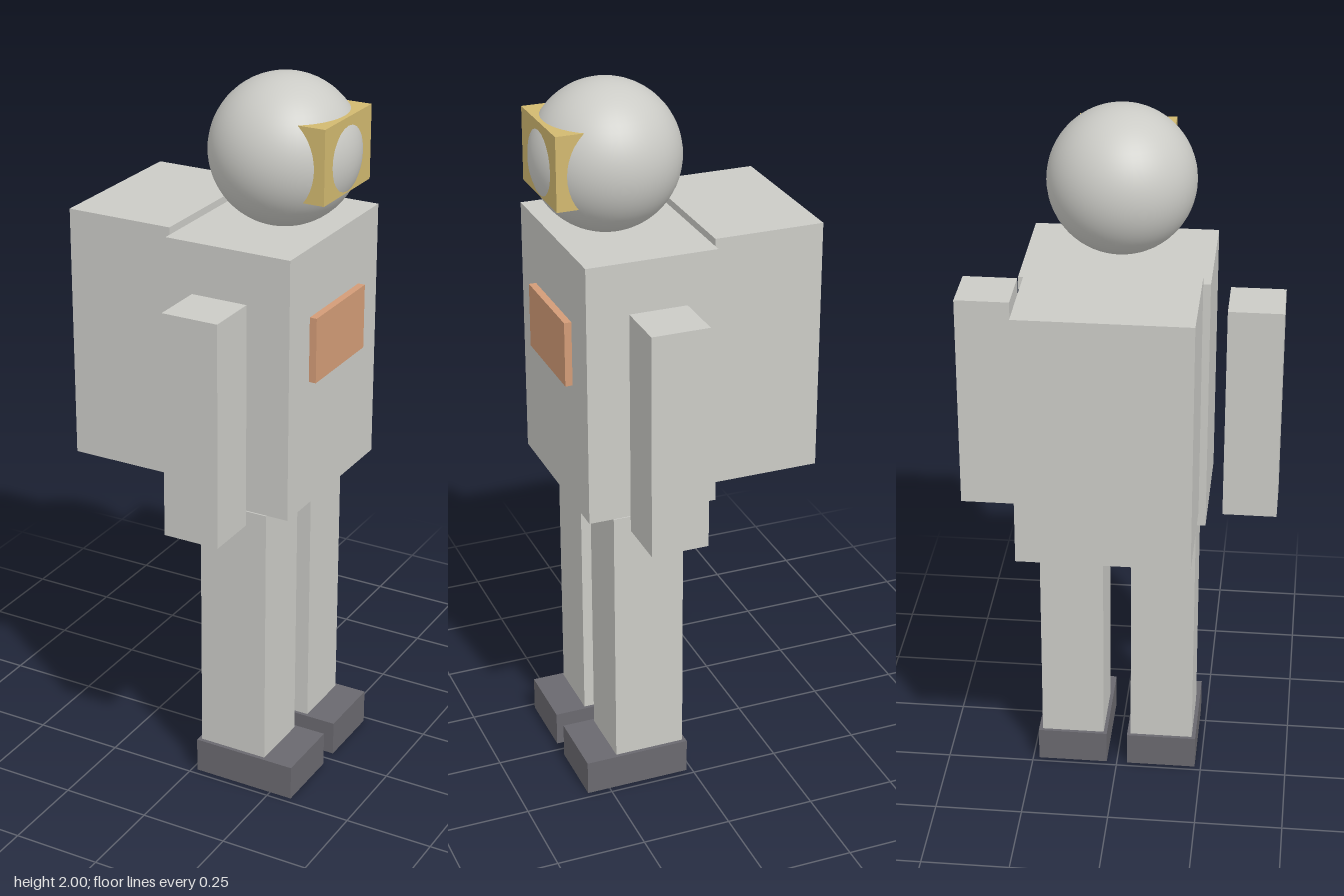
import * as THREE from 'three';

export function createModel() {
  const model = new THREE.Group();
  const material = (name, color) => {
    const m = new THREE.MeshStandardMaterial({ color });
    m.name = name;
    return m;
  };
  const suit = material('suit grey', 0xcbcbc6);
  const boots = material('boot charcoal', 0x6a696f);
  const gold = material('visor gold', 0xd2b970);
  const copper = material('panel copper', 0xd39c77);

  // Box given by its limits along each axis
  const box = (name, mat, [x0, x1], [y0, y1], [z0, z1]) => {
    const mesh = new THREE.Mesh(new THREE.BoxGeometry(x1 - x0, y1 - y0, z1 - z0), mat);
    mesh.position.set((x0 + x1) / 2, (y0 + y1) / 2, (z0 + z1) / 2);
    mesh.name = name;
    model.add(mesh);
  };

  // Body, backpack and chest panel; the figure looks along +x
  box('torso', suit, [-0.056, 0.305], [0.875, 1.6], [-0.252, 0.252]);
  box('backpack', suit, [-0.36, -0.056], [0.917, 1.62], [-0.232, 0.232]);
  box('chestPanel', copper, [0.305, 0.325], [1.23, 1.41], [-0.14, 0.14]);

  // Round helmet bulging through a flat visor
  const helmet = new THREE.Mesh(new THREE.SphereGeometry(0.2, 48, 32), suit);
  helmet.position.set(0.155, 1.8, 0);
  helmet.name = 'helmet';
  model.add(helmet);
  box('visor', gold, [0.245, 0.335], [1.71, 1.91], [-0.131, 0.131]);

  // Limbs, mirrored across z
  for (const [side, s] of [['near', 1], ['far', -1]]) {
    const span = (a, b) => (s > 0 ? [a, b] : [-b, -a]);
    box(side + 'Arm', suit, [0.045, 0.204], [0.855, 1.477], span(0.293, 0.444));
    box(side + 'Leg', suit, [0.025, 0.225], [0.05, 0.855], span(0.04, 0.221));
    box(side + 'Boot', boots, [0.015, 0.315], [0, 0.1], span(0.03, 0.232));
  }
  return model;
}
